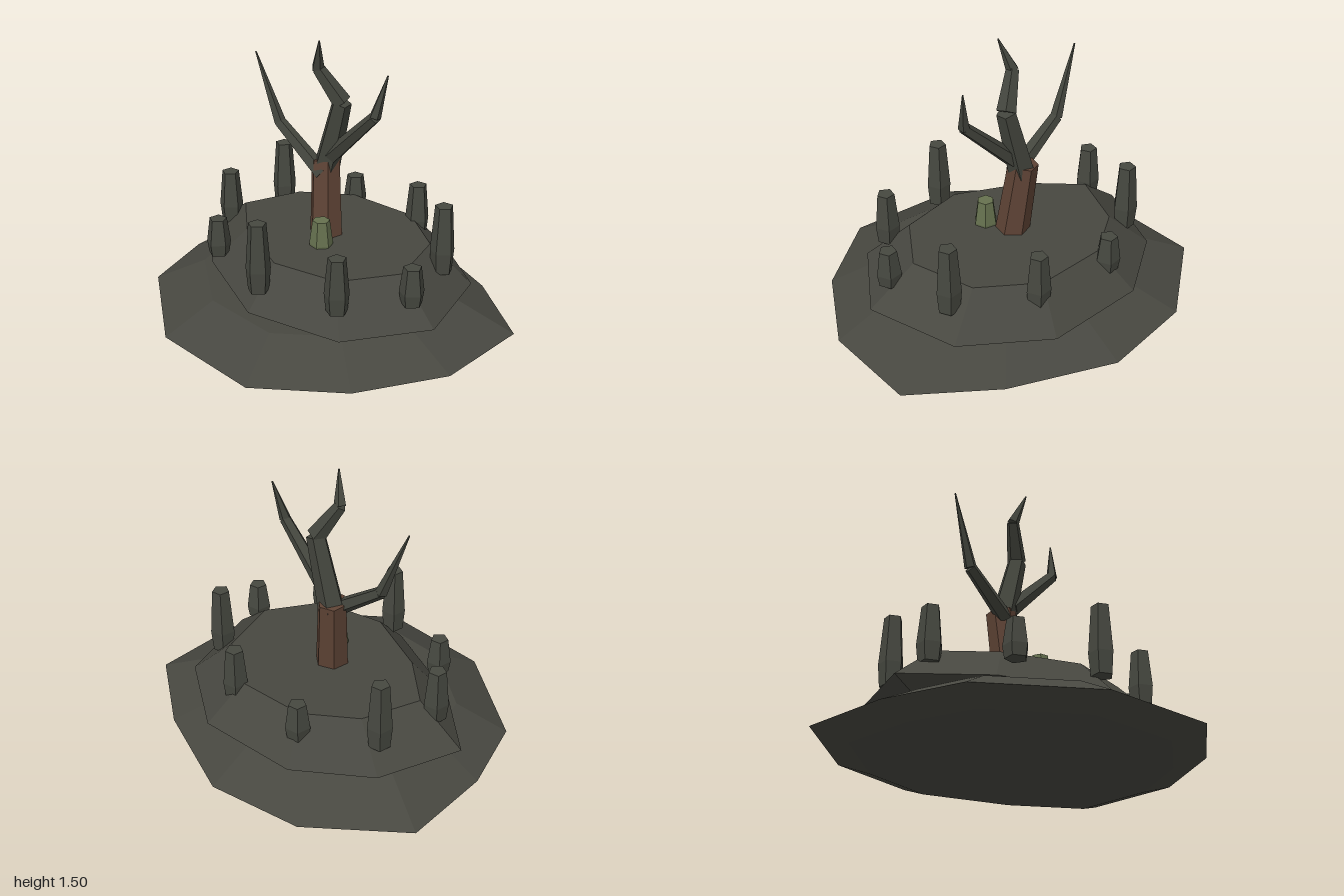
import * as THREE from 'three';

const flat = (name, color) => {
  const m = new THREE.MeshStandardMaterial({ color, flatShading: true });
  m.name = name;
  return m;
};

// Irregular slab: one outline repeated at several heights, each scaled about a centre
function slabGeometry(outline, cz, levels) {
  const pos = [];
  const n = outline.length;
  const point = (i, [y, s]) => {
    const [x, z] = outline[i % n];
    return [x * s, y, cz + (z - cz) * s];
  };
  const tri = (a, b, c) => pos.push(...a, ...b, ...c);
  const low = levels[0], high = levels[levels.length - 1];
  for (let i = 0; i < n; i++) {
    for (let k = 0; k < levels.length - 1; k++) {
      const a = point(i, levels[k]), b = point(i + 1, levels[k]);
      const a2 = point(i, levels[k + 1]), b2 = point(i + 1, levels[k + 1]);
      tri(b, a, a2);
      tri(b, a2, b2);
    }
    tri([0, low[0], cz], point(i, low), point(i + 1, low));
    tri([0, high[0], cz], point(i + 1, high), point(i, high));
  }
  const g = new THREE.BufferGeometry();
  g.setAttribute('position', new THREE.Float32BufferAttribute(pos, 3));
  g.computeVertexNormals();
  return g;
}

// Tapered straight limb between two points
function limb(name, from, to, r0, r1, sides, material) {
  const a = new THREE.Vector3(...from), b = new THREE.Vector3(...to);
  const dir = b.clone().sub(a);
  const mesh = new THREE.Mesh(new THREE.CylinderGeometry(r1, r0, dir.length(), sides), material);
  mesh.position.copy(a).add(b).multiplyScalar(0.5);
  mesh.quaternion.setFromUnitVectors(new THREE.Vector3(0, 1, 0), dir.normalize());
  mesh.name = name;
  return mesh;
}

// Low-poly standing stone, widest a third of the way up
function stone(name, x, z, y0, y1, radii, sides, material) {
  const h = y1 - y0;
  const profile = [[0, 0], [radii[0], 0], [radii[1], h * 0.32], [radii[2], h], [0, h]];
  const g = new THREE.LatheGeometry(profile.map(p => new THREE.Vector2(...p)), sides, Math.PI / 2);
  const mesh = new THREE.Mesh(g, material);
  mesh.position.set(x, y0, z);
  mesh.name = name;
  return mesh;
}

export function createModel() {
  const group = new THREE.Group();
  group.name = 'deadTreeMound';

  const earth = flat('dark earth', 0x474740);
  const rock = flat('grey stone', 0x464840);
  const bark = flat('brown bark', 0x5e4335);
  const deadWood = flat('dead wood', 0x43453d);
  const moss = flat('mossy stone', 0x66714f);

  // Two stacked slabs of ground
  const lower = [[-0.13, -0.89], [0.45, -0.77], [0.91, -0.55], [1, -0.03], [0.83, 0.44], [0.49, 0.81],
    [-0.13, 0.88], [-0.7, 0.59], [-0.9, 0.2], [-1, -0.29], [-0.62, -0.72]];
  const upper = [[0.14, -0.74], [0.6, -0.535], [0.83, -0.07], [0.64, 0.37], [0.15, 0.56],
    [-0.42, 0.41], [-0.81, 0.16], [-0.72, -0.305], [-0.405, -0.62]];
  const base = new THREE.Mesh(slabGeometry(lower, 0, [[0, 0.82], [0.06, 1], [0.2, 0.7]]), earth);
  base.name = 'lowerGround';
  const mound = new THREE.Mesh(slabGeometry(upper, -0.085, [[0.16, 0.85], [0.22, 1], [0.42, 0.7]]), earth);
  mound.name = 'upperGround';
  group.add(base, mound);

  // Ring of standing stones in three repeating heights
  const tops = [0.52, 0.61, 0.69];
  for (let i = 0; i < 9; i++) {
    const t = (i * Math.PI * 2) / 9;
    group.add(stone('standingStone', 0.02 + 0.68 * Math.cos(t), -0.035 + 0.53 * Math.sin(t),
      0.32, tops[i % 3], [0.056, 0.066, 0.047], 5, rock));
  }

  // Small mossy stone by the trunk
  group.add(stone('mossyStone', 0.085, 0.055, 0.37, 0.56, [0.055, 0.062, 0.045], 6, moss));

  // Tree: leaning trunk and three forked branches, each a chain of limbs
  const tree = new THREE.Group();
  tree.name = 'tree';
  tree.add(limb('trunk', [-0.01, 0.36, -0.05], [-0.06, 0.82, -0.085], 0.092, 0.078, 6, bark));
  const branches = {
    mainBranch: [[-0.055, 0.77, -0.082, 0.072], [0.05, 1.16, -0.1, 0.052],
      [-0.035, 1.335, -0.015, 0.034], [0.025, 1.5, 0.022, 0.004]],
    leftBranch: [[0, 0.86, -0.08, 0.045], [0.295, 1.15, -0.115, 0.031], [0.327, 1.365, -0.167, 0.004]],
    rightBranch: [[-0.035, 0.75, -0.045, 0.045], [-0.32, 0.965, 0.02, 0.033], [-0.455, 1.33, 0.072, 0.004]],
  };
  for (const [name, path] of Object.entries(branches)) {
    for (let i = 0; i < path.length - 1; i++) {
      const [a, b] = [path[i], path[i + 1]];
      tree.add(limb(name, a.slice(0, 3), b.slice(0, 3), a[3], b[3], 5, deadWood));
    }
  }
  group.add(tree);
  return group;
}
